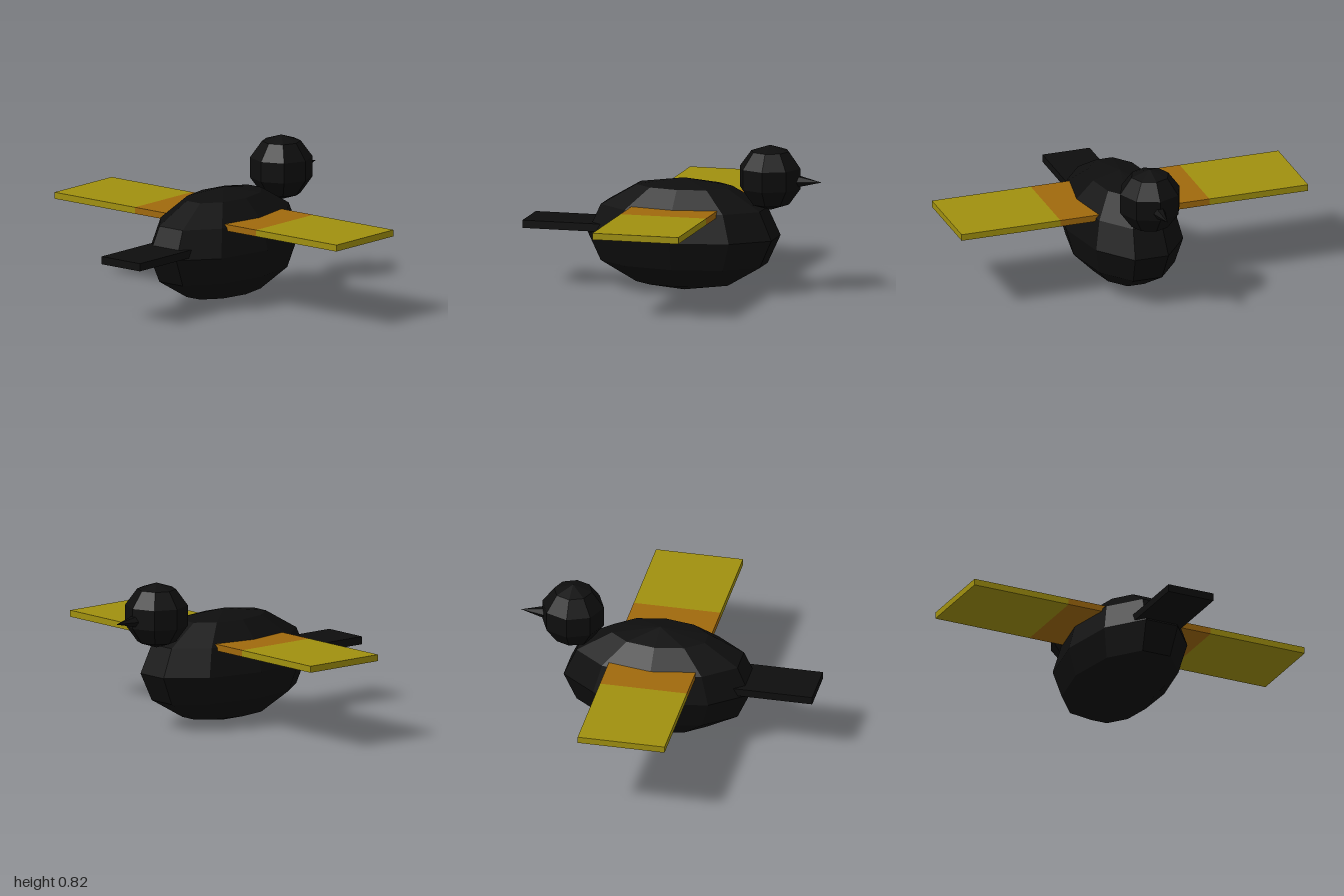
import * as THREE from 'three';

const black = new THREE.MeshStandardMaterial({ name: 'black', color: 0x0e0e0e, flatShading: true });
const yellow = new THREE.MeshStandardMaterial({ name: 'yellow', color: 0xa0900f, flatShading: true });
const orange = new THREE.MeshStandardMaterial({ name: 'orange', color: 0xa0690d, flatShading: true });

function part(parent, name, geometry, material, x, y, z) {
  const mesh = new THREE.Mesh(geometry, material);
  mesh.name = name;
  mesh.position.set(x, y, z);
  parent.add(mesh);
  return mesh;
}

export function createModel() {
  const bird = new THREE.Group();
  bird.name = 'bird';

  // Faceted egg body, stretched along x, with a corner facing each side
  const bodyShape = new THREE.SphereGeometry(1, 10, 6).rotateY(Math.PI / 2).scale(0.544, 0.31, 0.31);
  part(bird, 'body', bodyShape, black, 0.05, 0.31, 0);

  // Head and pointed beak
  part(bird, 'head', new THREE.SphereGeometry(0.18, 8, 5), black, 0.535, 0.645, 0);
  const beakShape = new THREE.ConeGeometry(0.04, 0.155, 6).rotateZ(-Math.PI / 2);
  part(bird, 'beak', beakShape, black, 0.747, 0.63, 0);

  // Flat tail board
  part(bird, 'tail', new THREE.BoxGeometry(0.475, 0.043, 0.272), black, -0.5875, 0.342, 0);

  // Wings: orange root and yellow outer board on each side
  for (const side of [1, -1]) {
    const wing = new THREE.Group();
    wing.name = side > 0 ? 'frontWing' : 'backWing';
    part(wing, 'wingRoot', new THREE.BoxGeometry(0.484, 0.036, 0.28), orange, 0.05, 0.465, side * 0.29);
    part(wing, 'wingTip', new THREE.BoxGeometry(0.484, 0.036, 0.57), yellow, 0.05, 0.465, side * 0.715);
    bird.add(wing);
  }
  return bird;
}
